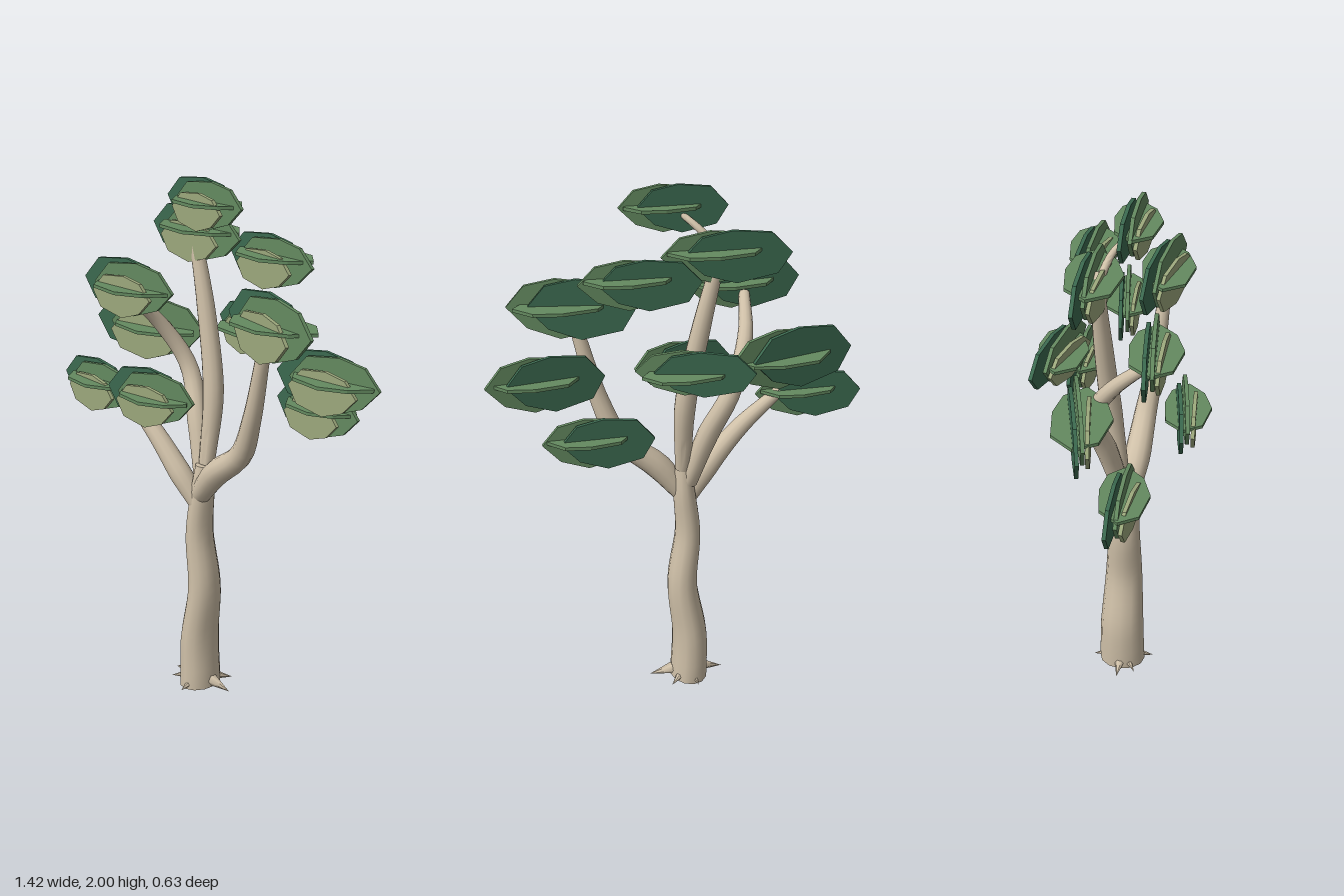
import * as THREE from 'three';
import { toCreasedNormals } from 'three/addons/utils/BufferGeometryUtils.js';

const mat = (color) => new THREE.MeshStandardMaterial({ color });
const bark = mat(0xcfc0a8);
const leafDark = mat(0x3c6a50), leafMid = mat(0x648a60), leafLight = mat(0x9ca87c);

// Tapered, capped limb through points [x, y, z, radius]
function limb(name, pts, depthScale = 1, segs = 18, sides = 12) {
  const curve = new THREE.CatmullRomCurve3(pts.map((p) => new THREE.Vector3(p[0], p[1], p[2])));
  const geo = new THREE.TubeGeometry(curve, segs, 1, sides, false);
  const pos = geo.attributes.position, v = new THREE.Vector3();
  for (let i = 0; i <= segs; i++) {
    // the first and last rings collapse to close the ends
    const end = i === 0 || i === segs;
    const centre = curve.getPointAt(i / segs);
    const u = i <= 1 ? 0 : i >= segs - 1 ? 1 : i / segs;
    const target = curve.getPointAt(u);
    const t = curve.getUtoTmapping(u) * (pts.length - 1);
    const k = Math.min(Math.floor(t), pts.length - 2);
    const r = end ? 0 : THREE.MathUtils.lerp(pts[k][3], pts[k + 1][3], t - k);
    for (let j = 0; j <= sides; j++) {
      const n = i * (sides + 1) + j;
      v.fromBufferAttribute(pos, n).sub(centre).multiplyScalar(r);
      v.z *= depthScale;
      v.add(target);
      pos.setXYZ(n, v.x, v.y, v.z);
    }
  }
  const mesh = new THREE.Mesh(toCreasedNormals(geo, 0.9), bark);
  mesh.name = name;
  return mesh;
}

// Thin irregular octagonal leaf plate of unit half-size
const outline = [[-1, 0.05], [-0.62, 0.84], [0.1, 1], [0.66, 0.8], [1, 0.1], [0.62, -0.62], [0.02, -1], [-0.74, -0.72]];
function plate(name, material, halfW, halfH, thickness = 0.014) {
  const shape = new THREE.Shape(outline.map(([x, y]) => new THREE.Vector2(x * halfW, y * halfH)));
  const geo = new THREE.ExtrudeGeometry(shape, { depth: thickness, bevelEnabled: false });
  geo.translate(0, 0, -thickness / 2);
  const mesh = new THREE.Mesh(geo, material);
  mesh.name = name;
  return mesh;
}

// Three upright plates crossed by one level plate
function leafCluster([x, y, z, w, h, yaw, levelY]) {
  const g = new THREE.Group();
  g.name = 'leafCluster';
  const back = plate('backLeaf', leafDark, w * 0.84, h * 0.94);
  back.position.set(-w * 0.16, h * 0.04, -0.028);
  const middle = plate('middleLeaf', leafMid, w * 0.84, h * 0.93);
  middle.position.set(w * 0.16, 0, -0.004);
  const front = plate('frontLeaf', leafLight, w * 0.68, h * 0.74);
  front.position.set(w * 0.02, -h * 0.24, 0.026);
  front.rotation.y = -0.1;
  const upright = new THREE.Group();
  upright.name = 'uprightLeaves';
  upright.rotation.y = yaw;
  upright.add(back, middle, front);
  const level = plate('levelLeaf', leafMid, w * 0.78, w * 0.44, 0.012);
  level.rotation.x = -Math.PI / 2;
  level.position.set(w * 0.14, levelY - y, 0);
  g.add(upright, level);
  g.position.set(x, y, z);
  return g;
}

export function createModel() {
  const tree = new THREE.Group();
  tree.name = 'tree';

  // Trunk, deeper than wide
  tree.add(limb('trunk', [
    [-0.034, 0.005, -0.022, 0.072], [-0.038, 0.2, -0.022, 0.068], [-0.01, 0.43, -0.018, 0.057],
    [-0.032, 0.65, -0.015, 0.048], [-0.018, 0.82, -0.016, 0.042], [-0.012, 0.93, -0.02, 0.03],
  ], 1.25, 24));

  // Main branches
  tree.add(limb('leftBranch', [
    [-0.02, 0.77, 0, 0.035], [-0.1, 0.88, 0.015, 0.044], [-0.24, 1.04, 0.025, 0.034], [-0.4, 1.17, 0.035, 0.022]]));
  tree.add(limb('rightBranch', [
    [-0.01, 0.82, 0, 0.04], [0.08, 0.93, 0.02, 0.05], [0.21, 1.04, 0.035, 0.042],
    [0.28, 1.2, 0.06, 0.034], [0.35, 1.47, 0.085, 0.024]]));
  tree.add(limb('backBranch', [
    [-0.03, 0.87, -0.03, 0.034], [-0.09, 1.07, -0.07, 0.04], [-0.17, 1.26, -0.11, 0.034],
    [-0.24, 1.43, -0.03, 0.028], [-0.27, 1.55, 0.09, 0.02]]));
  tree.add(limb('centreBranch', [
    [-0.01, 0.93, -0.03, 0.03], [-0.008, 1.2, -0.065, 0.04], [-0.06, 1.5, -0.085, 0.034], [-0.13, 1.8, -0.095, 0.022]]));
  tree.add(limb('topTwig', [
    [-0.13, 1.77, -0.09, 0.016], [-0.06, 1.85, -0.05, 0.013], [0, 1.9, 0.01, 0.01]]));

  // Small pointed roots around the base: [angle, reach]
  [[0.05, 0.15], [1.5, 0.12], [2.6, 0.11], [3.2, 0.13], [4.6, 0.11], [5.5, 0.12]].forEach(([a, reach]) => {
    const root = new THREE.Mesh(new THREE.ConeGeometry(0.026, 0.1, 6), bark);
    root.name = 'root';
    root.rotation.set(0, -a, -Math.PI / 2 - 0.18);
    root.position.set(-0.034 + Math.cos(a) * (reach - 0.045), 0.026, -0.022 + Math.sin(a) * (reach - 0.045));
    tree.add(root);
  });

  // Foliage: [x, y, z, half width, half height, yaw, level plate y]
  [
    [0.015, 1.91, 0.025, 0.19, 0.09, -0.06, 1.92],
    [-0.14, 1.765, -0.105, 0.228, 0.1, -0.05, 1.79],
    [0.175, 1.705, -0.145, 0.21, 0.095, -0.09, 1.73],
    [-0.265, 1.585, 0.12, 0.215, 0.105, 0.06, 1.59],
    [0.365, 1.55, 0.095, 0.23, 0.12, -0.2, 1.565],
    [-0.38, 1.368, -0.115, 0.24, 0.122, 0.22, 1.375],
    [0.003, 1.403, -0.24, 0.208, 0.088, -0.26, 1.405],
    [0.5, 1.345, -0.065, 0.212, 0.11, 0.1, 1.36],
    [-0.07, 1.238, 0.215, 0.192, 0.103, 0.14, 1.245],
    [-0.51, 1.147, 0.045, 0.2, 0.098, -0.05, 1.17],
    [0.345, 1.17, -0.215, 0.195, 0.1, -0.03, 1.19],
  ].forEach((c) => tree.add(leafCluster(c)));

  return tree;
}
